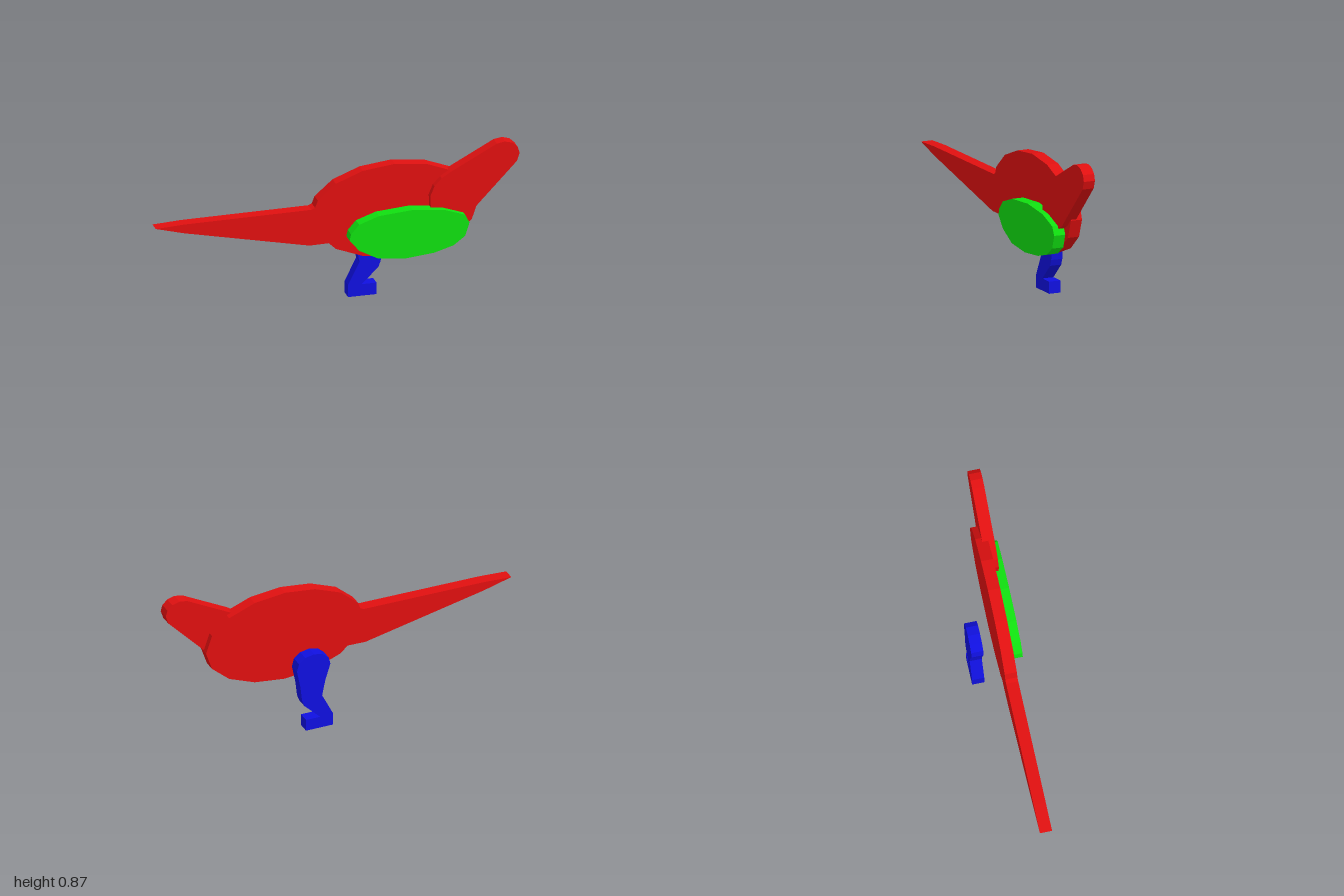
import * as THREE from 'three';

const paint = (name, hex) => {
  const m = new THREE.MeshStandardMaterial({ color: hex });
  m.name = name;
  return m;
};

// Flat slab cut from an outline, from z to z + depth
function slab(name, points, z, material, depth = 0.066) {
  const shape = new THREE.Shape(points.map(([x, y]) => new THREE.Vector2(x, y)));
  const geometry = new THREE.ExtrudeGeometry(shape, { depth, bevelEnabled: false });
  const mesh = new THREE.Mesh(geometry, material);
  mesh.name = name;
  mesh.position.z = z;
  return mesh;
}

export function createModel() {
  const group = new THREE.Group();
  group.name = 'flatDinosaur';
  const red = paint('red', 0xe01010);
  const green = paint('green', 0x10e010);
  const blue = paint('blue', 0x1010e0);

  // Body and tail in one outline: a 16-sided oval, open on the left for the tail
  const body = [];
  for (let i = -7; i <= 7; i++) {
    const a = (i * Math.PI) / 8;
    if (i === -7) continue;
    body.push([0.32 + 0.46 * Math.cos(a), 0.53 + 0.265 * Math.sin(a)]);
  }
  body.push([-0.12, 0.592], [-0.14, 0.583], [-0.84, 0.578], [-1, 0.57],
    [-0.84, 0.527], [-0.15, 0.378], [-0.045, 0.38]);
  group.add(slab('bodyAndTail', body, 0, red));

  // Neck and rounded head
  group.add(slab('neckAndHead', [
    [0.62, 0.457], [0.68, 0.462], [0.74, 0.495], [0.78, 0.537], [0.985, 0.75],
    [1, 0.795], [0.99, 0.83], [0.962, 0.857], [0.92, 0.869], [0.875, 0.862],
    [0.62, 0.728], [0.57, 0.697], [0.53, 0.655], [0.507, 0.6], [0.51, 0.535], [0.555, 0.48],
  ], 0.033, red));

  // Oval arm patch on the front
  group.add(slab('frontOval', [
    [0.365, 0.273], [0.52, 0.288], [0.625, 0.318], [0.69, 0.365], [0.714, 0.44],
    [0.69, 0.487], [0.575, 0.528], [0.4, 0.547], [0.215, 0.533], [0.105, 0.495],
    [0.06, 0.445], [0.052, 0.41], [0.105, 0.345], [0.21, 0.289],
  ], 0.066, green));

  // Leg and foot, set behind the body
  group.add(slab('leg', [
    [0.1, 0], [0.257, 0], [0.257, 0.066], [0.175, 0.066], [0.267, 0.155], [0.28, 0.19],
    [0.29, 0.275], [0.31, 0.375], [0.298, 0.42], [0.262, 0.45], [0.21, 0.46],
    [0.16, 0.45], [0.125, 0.42], [0.115, 0.38], [0.145, 0.285], [0.163, 0.195], [0.1, 0.07],
  ], -0.133, blue));

  return group;
}
